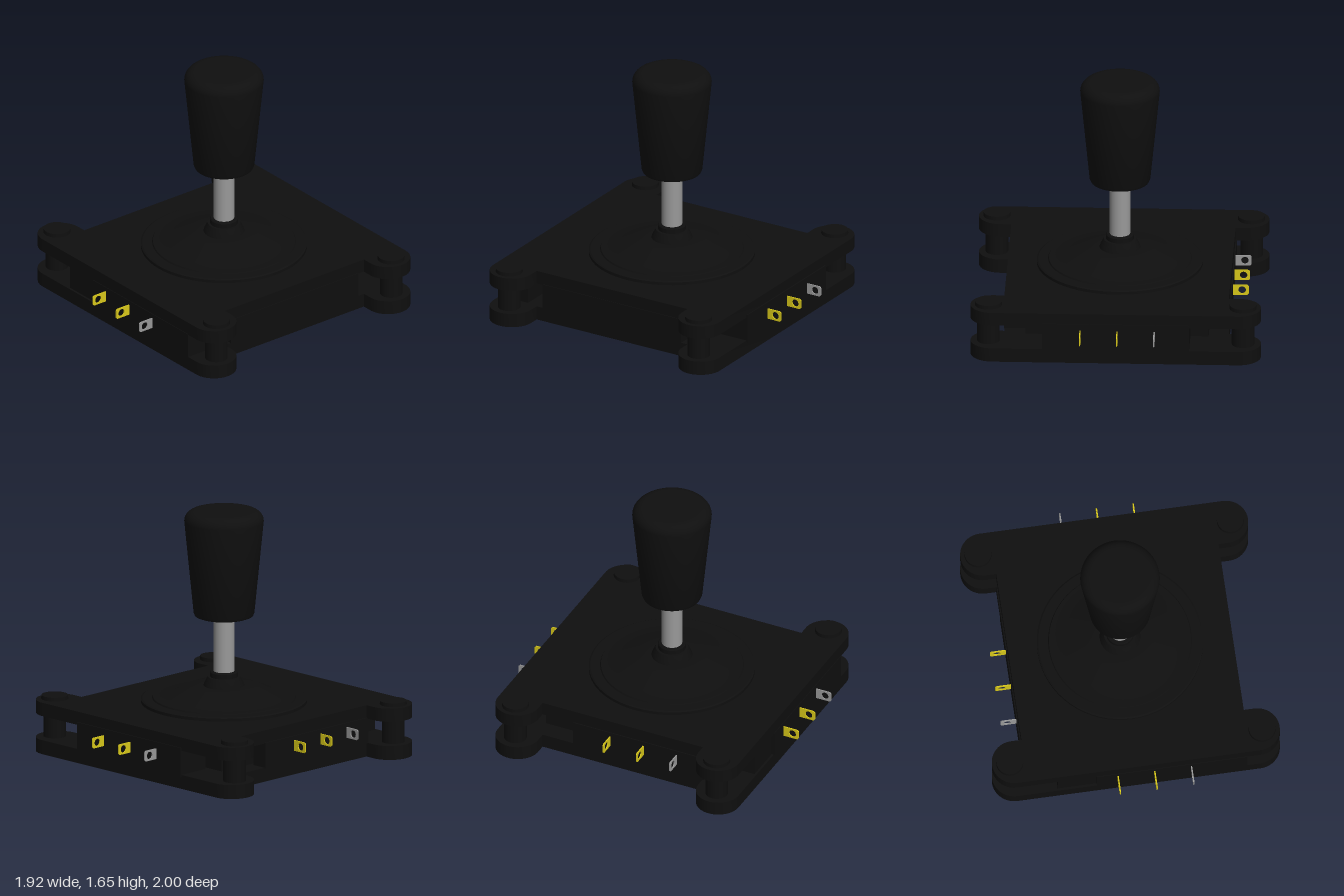
import * as THREE from 'three';
import { toCreasedNormals } from 'three/addons/utils/BufferGeometryUtils.js';

const paint = (color) => new THREE.MeshStandardMaterial({ color });
const black = paint(0x0f0f0f);
const steel = paint(0x999999);
const brass = paint(0xd8c81a);

export function createModel() {
  const model = new THREE.Group();

  const add = (name, geometry, material, x = 0, y = 0, z = 0, parent = model) => {
    const mesh = new THREE.Mesh(geometry, material);
    mesh.name = name;
    mesh.position.set(x, y, z);
    parent.add(mesh);
    return mesh;
  };
  // Box given by its limits on each axis
  const block = (name, [x0, x1], [y0, y1], [z0, z1], parent) =>
    add(name, new THREE.BoxGeometry(x1 - x0, y1 - y0, z1 - z0), black,
      (x0 + x1) / 2, (y0 + y1) / 2, (z0 + z1) / 2, parent);
  const lathe = (name, pairs, material) => {
    const points = pairs.map(([r, y]) => new THREE.Vector2(r, y));
    return add(name, toCreasedNormals(new THREE.LatheGeometry(points, 64), 0.5), material);
  };

  // Plates: a rectangle with a rounded ear at each corner
  const earX = 0.812, earZ = 0.737, earR = 0.148, sideX = 0.742;
  const outline = new THREE.Shape();
  outline.moveTo(-earX, -earZ - earR);
  outline.lineTo(earX, -earZ - earR);
  outline.absarc(earX, -earZ, earR, -Math.PI / 2, Math.PI / 2, false);
  outline.lineTo(sideX, -earZ + earR);
  outline.lineTo(sideX, earZ - earR);
  outline.lineTo(earX, earZ - earR);
  outline.absarc(earX, earZ, earR, -Math.PI / 2, Math.PI / 2, false);
  outline.lineTo(-earX, earZ + earR);
  outline.absarc(-earX, earZ, earR, Math.PI / 2, Math.PI * 1.5, false);
  outline.lineTo(-sideX, earZ - earR);
  outline.lineTo(-sideX, -earZ + earR);
  outline.lineTo(-earX, -earZ + earR);
  outline.absarc(-earX, -earZ, earR, Math.PI / 2, Math.PI * 1.5, false);
  const plate = (name, y, depth) => {
    const g = new THREE.ExtrudeGeometry(outline, { depth, bevelEnabled: false, curveSegments: 24 });
    g.rotateX(-Math.PI / 2);
    add(name, toCreasedNormals(g, 0.5), black, 0, y, 0);
  };
  plate('bottomPlate', 0, 0.095);
  plate('topPlate', 0.26, 0.09);

  // Spacer post and cap in every corner
  for (const sx of [-1, 1]) for (const sz of [-1, 1]) {
    add('cornerPost', new THREE.CylinderGeometry(0.075, 0.075, 0.18, 32), black, sx * 0.842, 0.178, sz * 0.74);
    add('cornerCap', new THREE.CylinderGeometry(0.088, 0.09, 0.03, 32), black, sx * 0.842, 0.36, sz * 0.74);
  }

  // Housing core and the switch bodies around it
  const mid = [0.09, 0.265];
  block('housing', [-0.61, 0.6], mid, [-0.63, 0.635]);
  block('frontSwitch', [-0.28, 0.725], mid, [0.667, 0.889]);
  block('frontSwitchEnd', [-0.54, -0.28], mid, [0.667, 0.87]);
  block('backSwitch', [-0.49, 0.48], [0.08, 0.28], [-0.893, -0.66]);
  block('leftSwitch', [0.6, 0.746], mid, [-0.54, 0.54]);
  block('rightSwitch', [-0.75, -0.636], mid, [-0.36, 0.6]);

  // Solder tabs: thin upright blades with a hole, pointing outward along +z
  const blade = new THREE.Shape();
  blade.moveTo(-0.04, -0.036);
  blade.lineTo(0.1, -0.036);
  blade.lineTo(0.11, -0.026);
  blade.lineTo(0.11, 0.026);
  blade.lineTo(0.1, 0.036);
  blade.lineTo(-0.04, 0.036);
  const hole = new THREE.Path();
  hole.absarc(0.066, 0, 0.025, 0, Math.PI * 2, true);
  blade.holes.push(hole);
  const tab = new THREE.ExtrudeGeometry(blade, { depth: 0.008, bevelEnabled: false, curveSegments: 16 });
  tab.translate(0, 0, -0.004);
  tab.rotateY(-Math.PI / 2);
  const tabs = (name, x, z, turn) => {
    const group = new THREE.Group();
    group.name = name;
    group.position.set(x, 0.2, z);
    group.rotation.y = turn;
    [brass, brass, steel].forEach((m, i) => add('tab', tab, m, (i - 1) * 0.245, 0, 0, group));
    model.add(group);
  };
  tabs('frontTabs', 0.105, 0.89, 0);
  tabs('backTabs', -0.015, -0.89, Math.PI);
  tabs('rightTabs', -0.745, 0.155, -Math.PI / 2);

  // Stepped dust cover with the pivot collar
  lathe('dustCover', [
    [0.55, 0.34], [0.55, 0.37], [0.54, 0.376], [0.475, 0.376], [0.47, 0.385], [0.37, 0.385],
    [0.23, 0.46], [0.135, 0.46], [0.13, 0.475], [0.108, 0.52], [0.092, 0.52], [0.092, 0.55],
    [0.086, 0.557], [0, 0.557],
  ], black);

  // Shaft and tapered grip
  add('shaft', new THREE.CylinderGeometry(0.068, 0.068, 0.48, 40), steel, 0, 0.74, 0);
  const grip = [[0, 0.93], [0.175, 0.93], [0.193, 0.937], [0.201, 0.955]];
  for (let i = 0; i <= 8; i++) {
    const a = (i / 8) * Math.PI / 2;
    grip.push([0.193 + 0.07 * Math.cos(a), 1.58 + 0.07 * Math.sin(a)]);
  }
  grip.push([0, 1.65]);
  lathe('grip', grip, black);

  return model;
}
